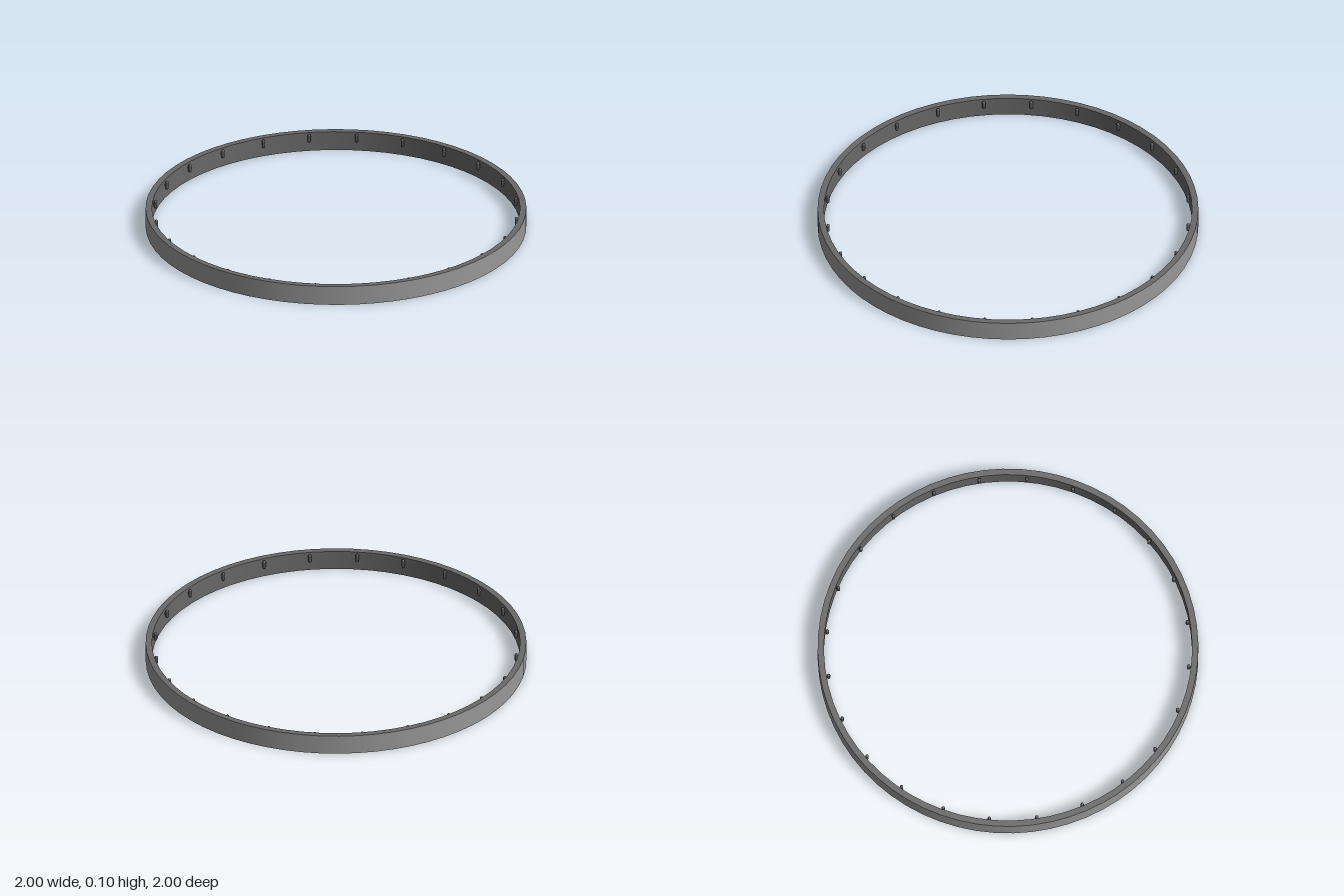
import * as THREE from 'three';

const OUTER = 1, INNER = 0.967, HEIGHT = 0.105, SEGMENTS = 64, PEGS = 24;

export function createModel() {
  const model = new THREE.Group();
  model.name = 'ring';
  const lightGrey = new THREE.MeshStandardMaterial({ color: 0x989898 });
  lightGrey.name = 'light grey';
  const midGrey = new THREE.MeshStandardMaterial({ color: 0x696969 });
  midGrey.name = 'mid grey';
  const darkGrey = new THREE.MeshStandardMaterial({ color: 0x555555 });
  darkGrey.name = 'dark grey';

  const add = (name, geometry, material, parent = model) => {
    const mesh = new THREE.Mesh(geometry, material);
    mesh.name = name;
    parent.add(mesh);
    return mesh;
  };

  // Outer band
  const wall = (r) => new THREE.CylinderGeometry(r, r, HEIGHT, SEGMENTS, 1, true).translate(0, HEIGHT / 2, 0);
  add('outerBand', wall(OUTER), lightGrey);

  // Inner wall: mirrored winding and normals so that it faces the centre
  const inner = wall(INNER);
  inner.index.array.reverse();
  const normals = inner.attributes.normal;
  for (let i = 0; i < normals.count; i++) normals.setXYZ(i, -normals.getX(i), 0, -normals.getZ(i));
  add('innerWall', inner, midGrey);

  // Flat rims closing the ring above and below
  const rim = () => new THREE.RingGeometry(INNER, OUTER, SEGMENTS);
  add('topRim', rim().rotateX(-Math.PI / 2).translate(0, HEIGHT, 0), midGrey);
  add('bottomRim', rim().rotateX(Math.PI / 2), midGrey);

  // Small upright pegs on short stems around the inside
  const pegGeometry = new THREE.CapsuleGeometry(0.009, 0.03, 4, 10);
  const stemGeometry = new THREE.CylinderGeometry(0.006, 0.006, 0.018, 8).rotateZ(Math.PI / 2);
  for (let i = 0; i < PEGS; i++) {
    const hook = new THREE.Group();
    hook.name = 'hook';
    hook.rotation.y = (i / PEGS) * Math.PI * 2;
    add('peg', pegGeometry, darkGrey, hook).position.set(0.954, 0.077, 0);
    add('stem', stemGeometry, darkGrey, hook).position.set(0.962, 0.077, 0);
    model.add(hook);
  }
  return model;
}
